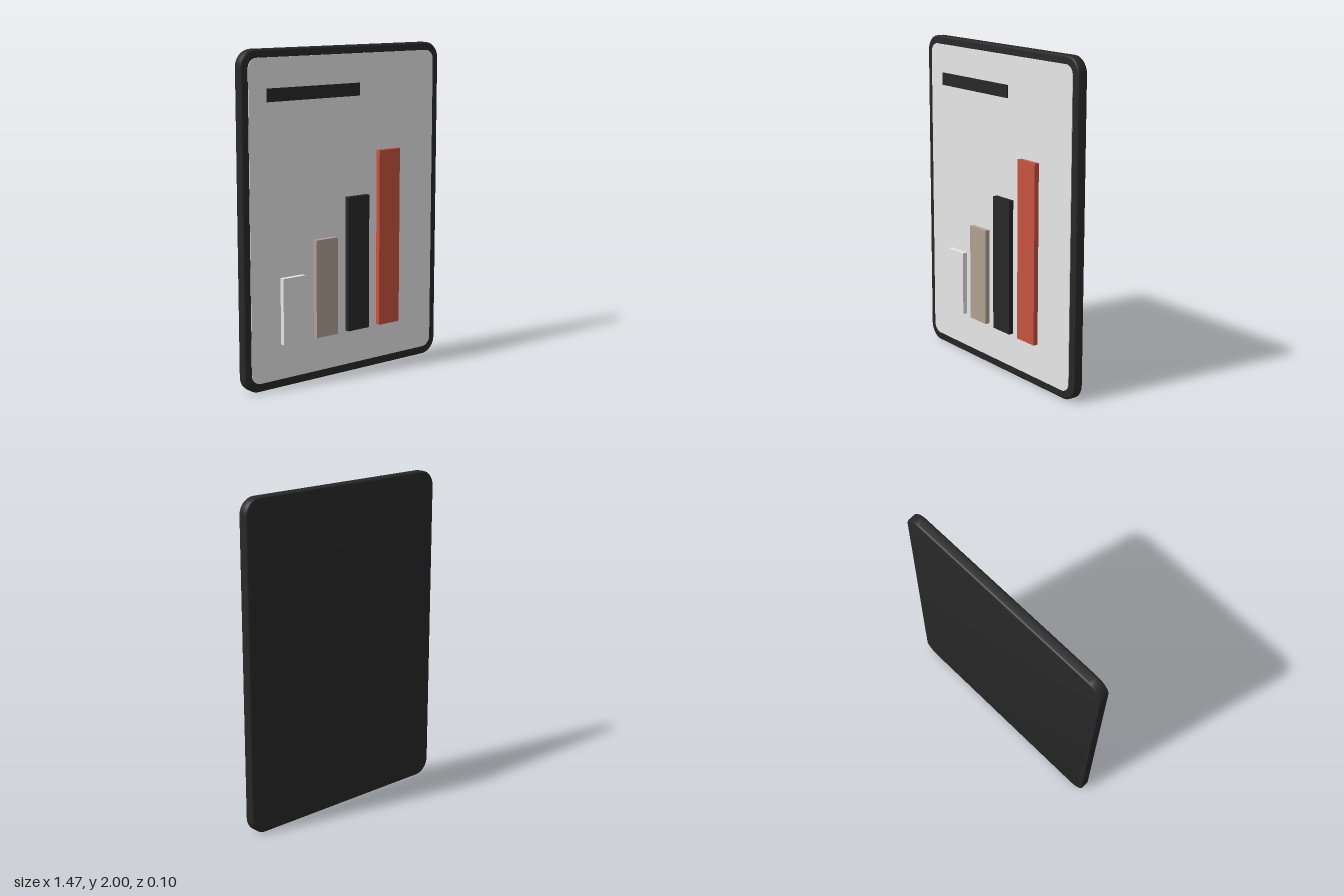
import * as THREE from 'three';
import { toCreasedNormals } from 'three/addons/utils/BufferGeometryUtils.js';

const material = (name, color) => {
  const m = new THREE.MeshStandardMaterial({ color });
  m.name = name;
  return m;
};

// Rounded rectangle centred on the origin
function roundedRect(w, h, r) {
  const x = w / 2, y = h / 2, s = new THREE.Shape();
  s.absarc(x - r, y - r, r, 0, Math.PI / 2);
  s.absarc(-x + r, y - r, r, Math.PI / 2, Math.PI);
  s.absarc(-x + r, -y + r, r, Math.PI, Math.PI * 1.5);
  s.absarc(x - r, -y + r, r, Math.PI * 1.5, Math.PI * 2);
  s.closePath();
  return s;
}

export function createModel() {
  const group = new THREE.Group();
  group.name = 'tabletWithBarChart';

  const black = material('charcoal', 0x282828);
  const pale = material('pale grey', 0xebebeb);
  const taupe = material('taupe', 0xb0a295);
  const red = material('brick red', 0xc95340);

  const add = (name, geometry, mat, x, y, z) => {
    const mesh = new THREE.Mesh(geometry, mat);
    mesh.name = name;
    mesh.position.set(x, y, z);
    group.add(mesh);
  };
  // Box given by its left, right, bottom, top, back and front limits
  const addBox = (name, mat, x0, x1, y0, y1, z0, z1) =>
    add(name, new THREE.BoxGeometry(x1 - x0, y1 - y0, z1 - z0), mat,
      (x0 + x1) / 2, (y0 + y1) / 2, (z0 + z1) / 2);

  // Casing with softened edges, z from -0.05 to 0.016
  const bevel = 0.012;
  const casing = new THREE.ExtrudeGeometry(
    roundedRect(1.466 - 2 * bevel, 2 - 2 * bevel, 0.1 - bevel),
    { depth: 0.066 - 2 * bevel, bevelEnabled: true, bevelThickness: bevel,
      bevelSize: bevel, bevelSegments: 4, curveSegments: 10 });
  add('casing', toCreasedNormals(casing, 0.6), black, 0, 1, -0.05 + bevel);

  // Screen plate lying on the casing
  const screen = new THREE.ExtrudeGeometry(roundedRect(1.373, 1.9, 0.06),
    { depth: 0.005, bevelEnabled: false, curveSegments: 10 });
  add('screen', toCreasedNormals(screen, 0.6), pale, 0, 1.002, 0.015);

  // Title strip
  addBox('titleStrip', black, -0.565, 0.105, 1.7, 1.777, 0.018, 0.025);

  // Rising chart bars
  [[0.667, pale], [0.865, taupe], [1.098, black], [1.363, red]].forEach(([top, mat], i) => {
    const x = -0.48 + i * 0.24;
    addBox(`chartBar${i + 1}`, mat, x, x + 0.16, 0.267, top, 0.019, 0.05);
  });

  return group;
}
